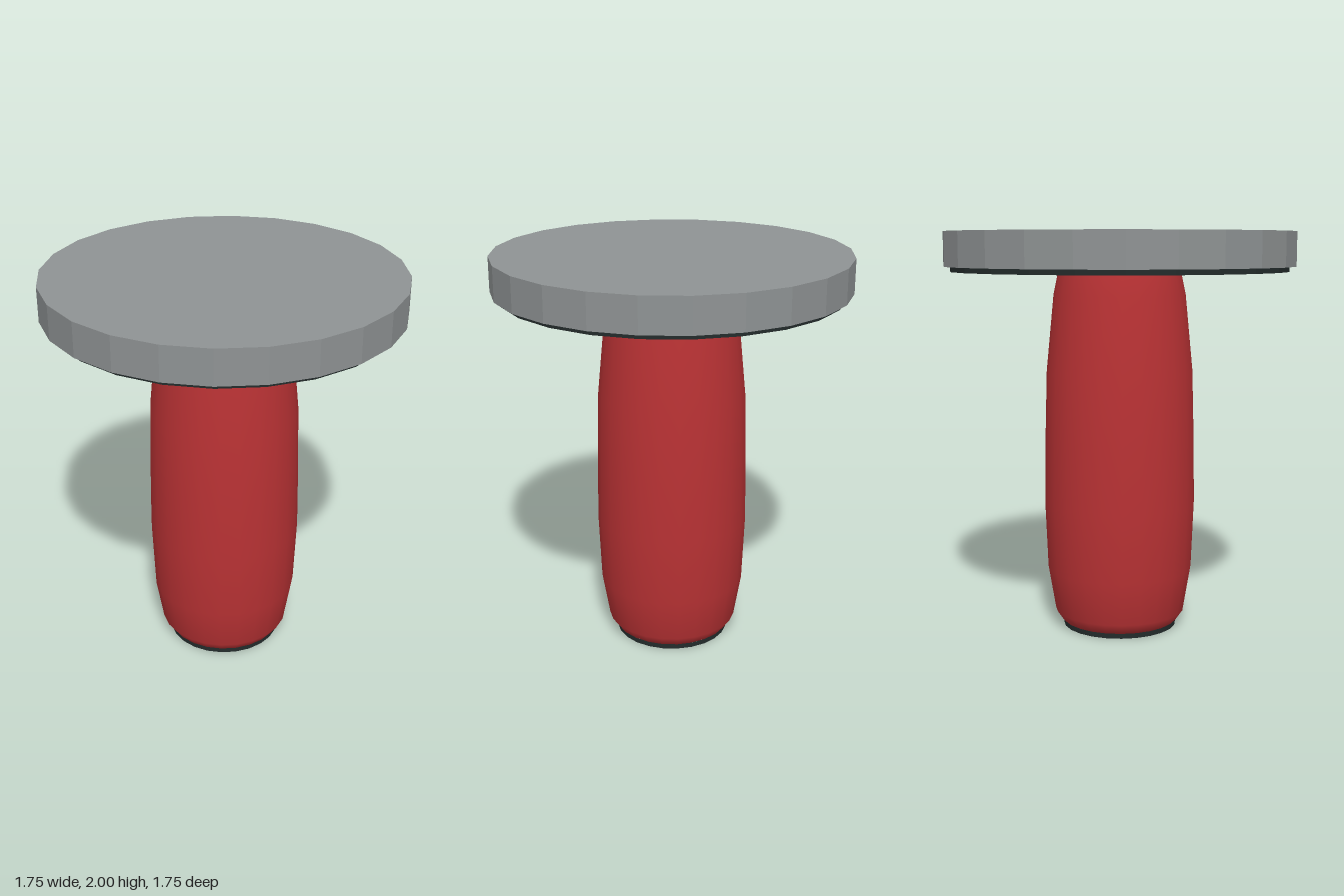
import * as THREE from 'three';
import { toCreasedNormals } from 'three/addons/utils/BufferGeometryUtils.js';

const SIDES = 24;

export function createModel() {
  const group = new THREE.Group();
  const material = (name, color) => {
    const m = new THREE.MeshStandardMaterial({ color });
    m.name = name;
    return m;
  };
  const grey = material('grey metal', 0x8f9394);
  const black = material('black rubber', 0x232b2b);
  const red = material('red grip', 0xb93234);

  const add = (name, geometry, mat) => {
    const mesh = new THREE.Mesh(geometry, mat);
    mesh.name = name;
    group.add(mesh);
  };
  const lathe = (points) =>
    new THREE.LatheGeometry(points.map(([r, y]) => new THREE.Vector2(r, y)), SIDES);
  // Faceted disc between two heights
  const disc = (radius, bottom, top) => {
    const g = new THREE.CylinderGeometry(radius, radius, top - bottom, SIDES).toNonIndexed();
    g.computeVertexNormals();
    return g.translate(0, (bottom + top) / 2, 0);
  };

  // Flat round head with a slightly smaller backing plate
  add('headDisc', disc(0.873, 1.83, 2), grey);
  add('backingPlate', disc(0.84, 1.805, 1.83), black);

  // Barrel-shaped handle, smooth all round
  add('handle', lathe([
    [0.28, 0.02], [0.295, 0.03], [0.33, 0.08], [0.367, 0.3], [0.381, 0.64],
    [0.376, 0.98], [0.367, 1.31], [0.33, 1.69], [0.305, 1.81],
  ]), red);

  // End ring with a shallow hole
  add('endRing', toCreasedNormals(lathe([
    [0.16, 0.07], [0.16, 0], [0.288, 0], [0.288, 0.025],
  ]), 0.6), black);

  // Floor of the hole, facing down
  add('holeFloor', new THREE.CircleGeometry(0.16, SIDES).rotateX(Math.PI / 2).translate(0, 0.07, 0), red);

  return group;
}
